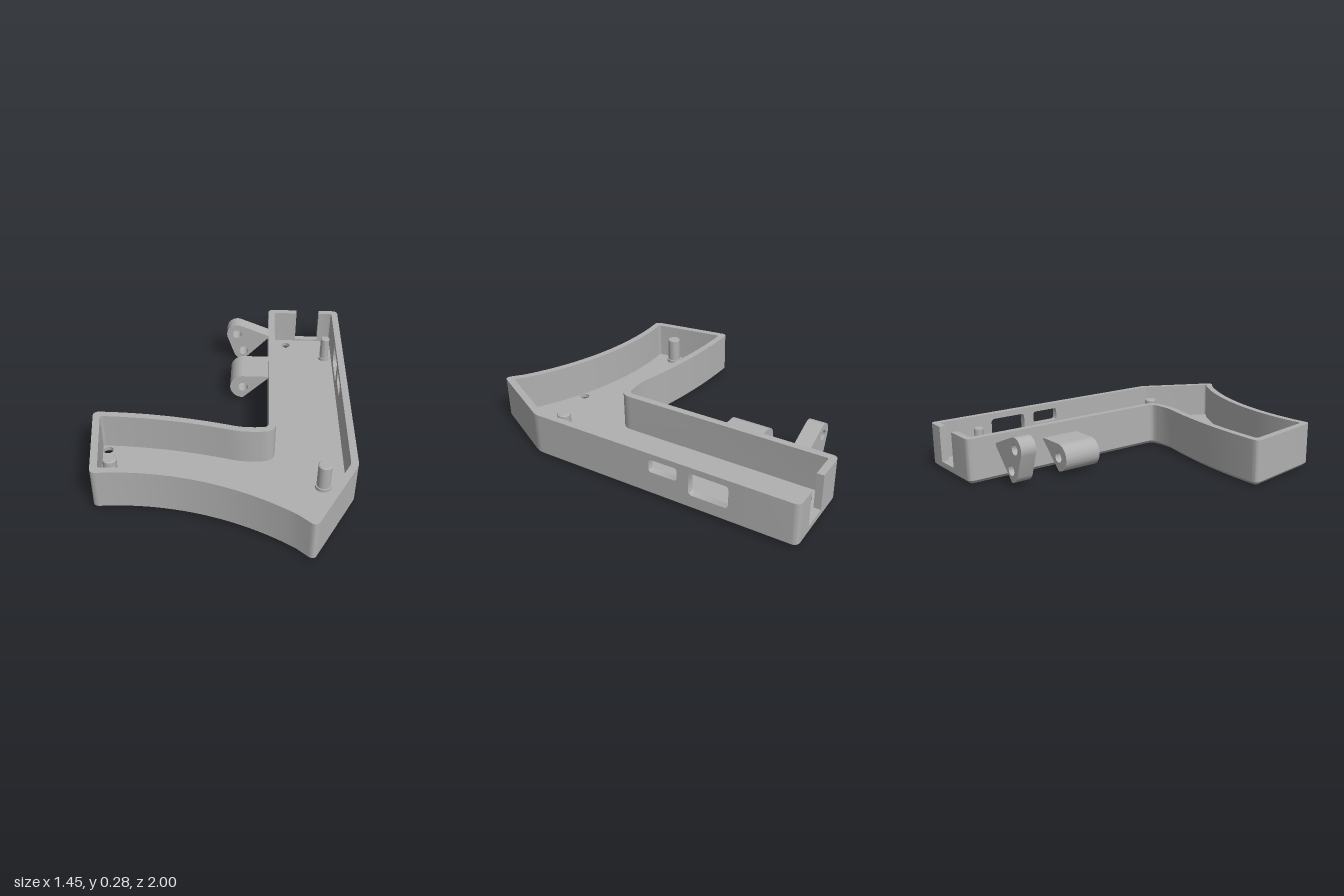
import * as THREE from 'three';
import { toCreasedNormals } from 'three/addons/utils/BufferGeometryUtils.js';

const H = 0.255, FLOOR = 0.04, WALL = 0.04, BEVEL = 0.02;

// Plan outline as [x, z, cornerRadius]; key points tagged with a name
function planKeys() {
  const keys = [
    [0.6, -1, 0, 'slotRight'], [0.725, -1, 0.035],
    [0.725, -0.7, 0, 'panelBack'], [0.725, -0.1, 0, 'panelFront'],
    [0.725, 0.57, 0.1], [0.485, 1.015, 0.03],
  ];
  const N = 24;
  for (let i = 0; i < N; i++) { // concave heel of the grip
    const x = 0.4 - (0.98 * i) / (N - 1);
    keys.push([x, 2.26 - Math.sqrt(1.58 ** 2 - (x + 0.47) ** 2), 0]);
  }
  keys.push([-0.66, 0.692, 0.035], [-0.732, 0.18, 0.035]);
  for (let i = 0; i < 16; i++) { // gently falling front of the grip
    const x = -0.65 + (0.72 * i) / 15;
    keys.push([x, 0.18 + (x + 0.68) ** 2 / 6, 0]);
  }
  keys.push([0.12, 0.282, 0], [0.18, 0.282, 0], [0.26, 0.276, 0.04],
    [0.26, -1, 0.035], [0.45, -1, 0, 'slotLeft']);
  return keys;
}

// Mitre-inset the outline, then round its corners; every inset has matching point counts
function outline(inset) {
  const keys = planKeys(), n = keys.length, tags = {}, points = [];
  const dir = (a, b) => new THREE.Vector2(b[0] - a[0], b[1] - a[1]).normalize();
  const corners = keys.map((k, i) => {
    const a = dir(keys[(i + n - 1) % n], k), b = dir(k, keys[(i + 1) % n]);
    const m = new THREE.Vector2(-a.y - b.y, a.x + b.x).divideScalar(1 + a.dot(b));
    return { p: new THREE.Vector2(k[0], k[1]).addScaledVector(m, inset), a, b };
  });
  corners.forEach(({ p, a, b }, i) => {
    const [, , r, tag] = keys[i];
    if (tag) tags[tag] = points.length;
    if (!r) { points.push(p); return; }
    const turn = Math.atan2(a.cross(b), a.dot(b));
    const radius = turn > 0 ? Math.max(0.015, r - inset) : r + inset;
    const t = radius * Math.tan(Math.abs(turn) / 2);
    const curve = new THREE.QuadraticBezierCurve(
      p.clone().addScaledVector(a, -t), p, p.clone().addScaledVector(b, t));
    points.push(...curve.getPoints(8));
  });
  return { points, tags };
}

const planShape = (pts) => new THREE.Shape(pts.map((p) => new THREE.Vector2(p.x, -p.y)));
const flat = (geo, y) => geo.rotateX(-Math.PI / 2).translate(0, y, 0);
const extrude = (shape, depth) => new THREE.ExtrudeGeometry(shape,
  { depth, bevelEnabled: false, curveSegments: 20 });

function circleHole(x, y, r) {
  const path = new THREE.Path();
  path.absarc(x, y, r, 0, Math.PI * 2, true);
  return path;
}

function roundedHole(x0, y0, x1, y1, r) {
  const p = new THREE.Path();
  p.absarc(x0 + r, y0 + r, r, Math.PI, Math.PI * 1.5);
  p.absarc(x1 - r, y0 + r, r, Math.PI * 1.5, Math.PI * 2);
  p.absarc(x1 - r, y1 - r, r, 0, Math.PI / 2);
  p.absarc(x0 + r, y1 - r, r, Math.PI / 2, Math.PI);
  p.closePath();
  return p;
}

// Strip of quads joining two matching closed rings
function band(lower, y0, upper, y1) {
  const pos = [], idx = [], n = lower.length;
  lower.forEach((p, i) => pos.push(p.x, y0, p.y, upper[i].x, y1, upper[i].y));
  for (let i = 0; i < n; i++) {
    const a = 2 * i, b = 2 * ((i + 1) % n);
    idx.push(a, a + 1, b, b, a + 1, b + 1);
  }
  const g = new THREE.BufferGeometry();
  g.setAttribute('position', new THREE.Float32BufferAttribute(pos, 3));
  g.setIndex(idx);
  return g;
}

export function createModel() {
  const model = new THREE.Group();
  model.name = 'openGripShell';
  const grey = new THREE.MeshStandardMaterial({ color: 0xb0b0b0, side: THREE.DoubleSide });
  grey.name = 'plainGrey';
  const add = (name, geo) => {
    if (geo.index) geo = geo.toNonIndexed();
    geo.deleteAttribute('normal');
    geo.computeVertexNormals();
    const mesh = new THREE.Mesh(toCreasedNormals(geo, 0.5), grey);
    mesh.name = name;
    model.add(mesh);
    return mesh;
  };

  const outer = outline(0), inner = outline(WALL), base = outline(BEVEL);
  const { slotRight, slotLeft, panelBack, panelFront } = outer.tags;

  // Floor with countersunk screw holes and a bevelled lower edge
  const screws = [[0.385, -0.895], [0.64, -0.845], [-0.65, 0.26], [0.125, 0.72]];
  const floorFace = (pts, r, y) => {
    const shape = planShape(pts);
    screws.forEach(([x, z]) => shape.holes.push(circleHole(x, -z, r)));
    return flat(new THREE.ShapeGeometry(shape, 20), y);
  };
  const underside = floorFace(base.points, 0.042, 0);
  underside.setIndex([...underside.index.array].reverse());
  add('underside', underside);
  add('floor', floorFace(inner.points, 0.028, FLOOR));
  add('lowerBevel', band(base.points, 0, outer.points, BEVEL));
  for (const [x, z] of screws) {
    // profile runs downwards so the faces point into the hole
    const profile = [[0.028, FLOOR], [0.028, 0.018], [0.042, 0]];
    const hole = new THREE.LatheGeometry(profile.map((p) => new THREE.Vector2(...p)), 32);
    add('screwHole', hole.translate(x, 0, z));
  }

  // Walls, open at the rear slot and at the window panel
  const wall = (name, from, to) => {
    const pts = [...outer.points.slice(from, to + 1),
      ...inner.points.slice(from, to + 1).reverse()];
    add(name, flat(extrude(planShape(pts), H - BEVEL), BEVEL));
  };
  wall('rearCornerWall', slotRight, panelBack);
  wall('mainWall', panelFront, slotLeft);
  add('slotSill', new THREE.BoxGeometry(0.15, 0.03, WALL).translate(0.525, 0.035, -0.98));

  // Side panel with two rounded windows
  const panel = new THREE.Shape([[0.1, BEVEL], [0.7, BEVEL], [0.7, H], [0.1, H]]
    .map((p) => new THREE.Vector2(...p)));
  panel.holes.push(roundedHole(0.17, 0.145, 0.338, 0.22, 0.015),
    roundedHole(0.405, 0.09, 0.63, 0.22, 0.02));
  add('windowPanel', extrude(panel, WALL).rotateY(Math.PI / 2).translate(0.725 - WALL, 0, 0));

  // Locating pegs
  const peg = (name, x, z, r, collar) => {
    const profile = [[collar, FLOOR - 0.005], [collar, FLOOR + 0.018], [r, FLOOR + 0.018],
      [r, 0.195], [r - 0.005, 0.2], [0, 0.2]];
    const geo = new THREE.LatheGeometry(profile.map((p) => new THREE.Vector2(...p)), 32);
    add(name, geo.translate(x, 0, z));
  };
  peg('gripPeg', -0.59, 0.51, 0.038, 0.046);
  peg('cornerPeg', 0.56, 0.51, 0.038, 0.046);
  peg('rearPeg', 0.635, -0.742, 0.028, 0.034);

  // Thin lug with two pivot holes
  const thin = new THREE.Shape();
  thin.moveTo(0.27, 0.023);
  thin.absarc(0.1, 0.09, 0.067, Math.PI * 1.5, 3.487, true);
  thin.absarc(0.055, 0.216, 0.067, 3.487, 1.19, true);
  thin.lineTo(0.27, 0.203);
  thin.closePath();
  thin.holes.push(circleHole(0.1, 0.09, 0.03), circleHole(0.055, 0.216, 0.03));
  add('twinHoleLug', extrude(thin, 0.092).translate(0, 0, -0.832));

  // Wide lug with one pivot hole
  const wide = new THREE.Shape();
  wide.moveTo(0.27, 0.022);
  wide.absarc(0.105, 0.102, 0.08, Math.PI * 1.5, Math.PI * 0.5, true);
  wide.lineTo(0.27, 0.182);
  wide.closePath();
  wide.holes.push(circleHole(0.105, 0.102, 0.03));
  add('wideLug', extrude(wide, 0.225).translate(0, 0, -0.532));

  return model;
}
